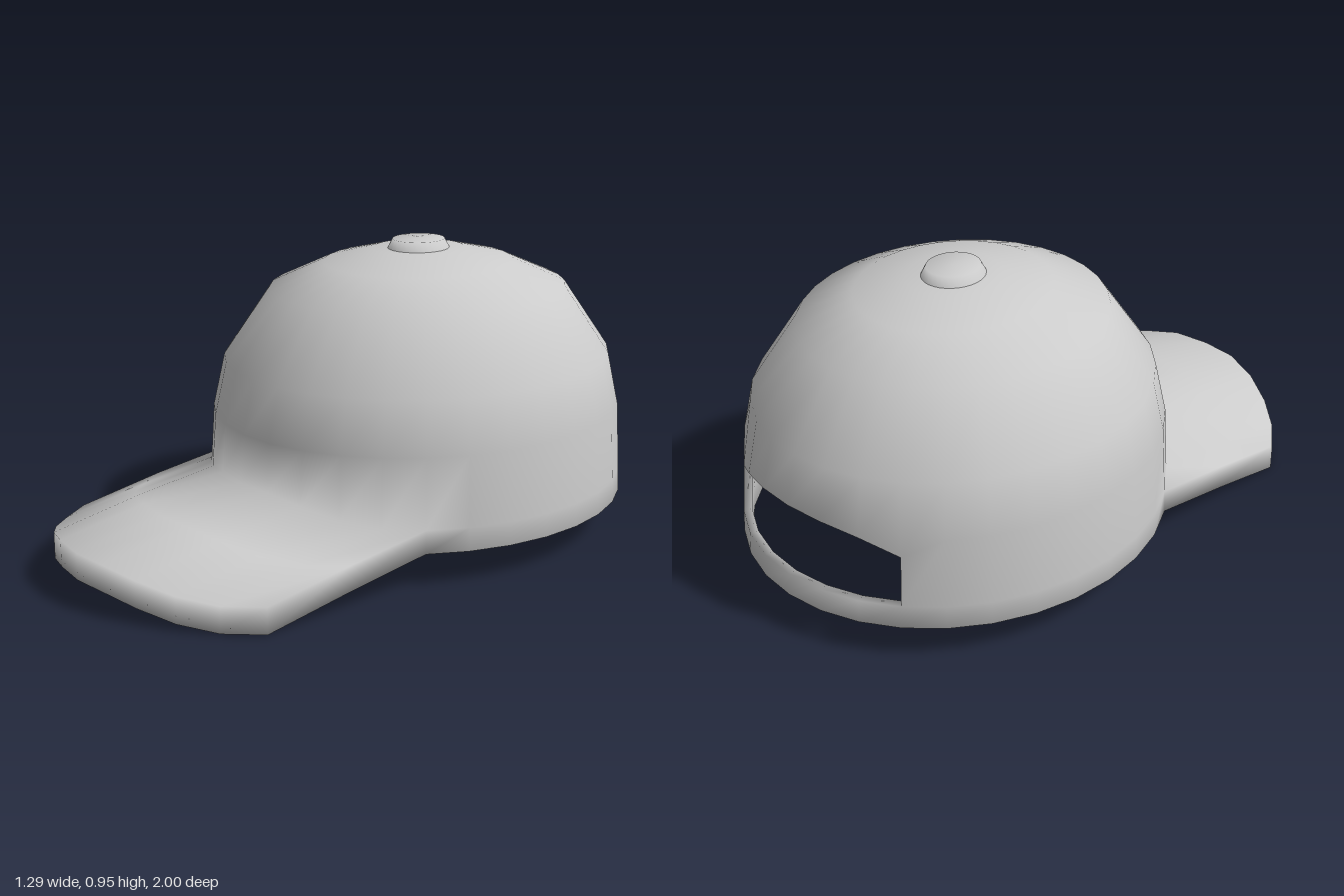
import * as THREE from 'three';

const SEG = 32, CZ = -0.29, DEPTH = 1.1, WALL = 0.025;
const BRIM = 5;              // brim spans columns -5..5, column 0 is the front
const GAP = [13, 19];        // columns that bound the opening at the back
// radius and height of each ring, bottom to top
const RINGS = [[0.645, 0.11], [0.642, 0.185], [0.63, 0.41], [0.595, 0.58],
  [0.455, 0.8], [0.29, 0.88], [0.14, 0.92], [0, 0.92]];
const LIFT = [0.07, 0.07, 0.05, 0.022, 0.003, 0];   // arch of the brim by column
const ARCH = [0.425, 0.42, 0.4, 0.35];              // top of the opening by column

const lift = (i) => LIFT[Math.min(Math.abs(i), SEG - Math.abs(i))] ?? 0;

export function createModel() {
  const group = new THREE.Group();
  const material = new THREE.MeshStandardMaterial({ color: 0xcccccc });
  const positions = [], ids = new Map();

  // shared vertices keep the shading soft where the brim meets the crown
  const vertex = (key, make) => {
    if (!ids.has(key)) {
      ids.set(key, positions.length / 3);
      positions.push(...make());
    }
    return ids.get(key);
  };
  const quad = (list, a, b, c, d) => list.push(a, b, c, a, c, d);

  // point of the crown: column, ring, outer or inner wall
  const crownPoint = (i, j, inner) => {
    const a = (i / SEG) * Math.PI * 2;
    let [r, y] = RINGS[j];
    if (j < 2) y += lift(i);
    if (j === 2) y = ARCH[Math.abs(i - SEG / 2)] ?? y;
    if (inner) {
      r = Math.max(0, r - WALL);
      if (j > 2) y -= WALL * (j - 2) / 5;
    }
    return [r * Math.sin(a), y, CZ + r * DEPTH * Math.cos(a)];
  };
  const shell = (inner) => (i, j) => {
    const c = (i + SEG) % SEG;
    return vertex(`${inner ? 'in' : 'out'},${c},${j}`, () => crownPoint(c, j, inner));
  };
  const out = shell(false), inn = shell(true);

  // crown: two walls, the lower rim and the edges of the back opening
  const crown = [];
  for (let i = -BRIM; i < SEG - BRIM; i++) {
    for (let j = 0; j < RINGS.length - 1; j++) {
      if (j === 1 && i >= GAP[0] && i < GAP[1]) {
        quad(crown, out(i, 1), out(i + 1, 1), inn(i + 1, 1), inn(i, 1));
        quad(crown, out(i + 1, 2), out(i, 2), inn(i, 2), inn(i + 1, 2));
        continue;
      }
      if (j > 0 || i >= BRIM) quad(crown, out(i, j), out(i + 1, j), out(i + 1, j + 1), out(i, j + 1));
      quad(crown, inn(i + 1, j), inn(i, j), inn(i, j + 1), inn(i + 1, j + 1));
    }
    quad(crown, out(i + 1, 0), out(i, 0), inn(i, 0), inn(i + 1, 0));
  }
  const [g0, g1] = GAP;
  quad(crown, out(g0, 1), inn(g0, 1), inn(g0, 2), out(g0, 2));
  quad(crown, inn(g1, 1), out(g1, 1), out(g1, 2), inn(g1, 2));

  // brim: the crown's front edge carried forward and down in two steps
  const brimPoint = (i, row, top) => {
    if (row === 0) return out(i, top ? 1 : 0);
    return vertex(`brim,${i},${row},${top}`, () => {
      const [x, , z] = crownPoint(i, 0, false);
      const y = (top ? [0, 0.14, 0.085] : [0, 0.058, 0])[row];
      return [x, y + lift(i), z + 0.29 * row];
    });
  };
  const top = (i, r) => brimPoint(i, r, true), bot = (i, r) => brimPoint(i, r, false);
  const brim = [];
  for (let r = 0; r < 2; r++) {
    for (let i = -BRIM; i < BRIM; i++) {
      quad(brim, top(i, r + 1), top(i + 1, r + 1), top(i + 1, r), top(i, r));
      quad(brim, bot(i, r), bot(i + 1, r), bot(i + 1, r + 1), bot(i, r + 1));
    }
    quad(brim, bot(BRIM, r + 1), bot(BRIM, r), top(BRIM, r), top(BRIM, r + 1));
    quad(brim, bot(-BRIM, r), bot(-BRIM, r + 1), top(-BRIM, r + 1), top(-BRIM, r));
  }
  for (let i = -BRIM; i < BRIM; i++) {
    quad(brim, bot(i, 2), bot(i + 1, 2), top(i + 1, 2), top(i, 2));
  }

  // normals are found over both parts together, then each part gets its faces
  const whole = new THREE.BufferGeometry();
  whole.setAttribute('position', new THREE.Float32BufferAttribute(positions, 3));
  whole.setIndex([...crown, ...brim]);
  whole.computeVertexNormals();
  for (const [name, faces] of [['crown', crown], ['brim', brim]]) {
    const geometry = whole.clone().setIndex(faces);
    const mesh = new THREE.Mesh(geometry, material);
    mesh.name = name;
    group.add(mesh);
  }

  // button on top
  const profile = [[0.097, 0.915], [0.08, 0.95], [0, 0.95]].map(([x, y]) => new THREE.Vector2(x, y));
  const button = new THREE.Mesh(new THREE.LatheGeometry(profile, SEG), material);
  button.name = 'topButton';
  button.position.z = CZ;
  button.scale.z = DEPTH;
  group.add(button);

  return group;
}
